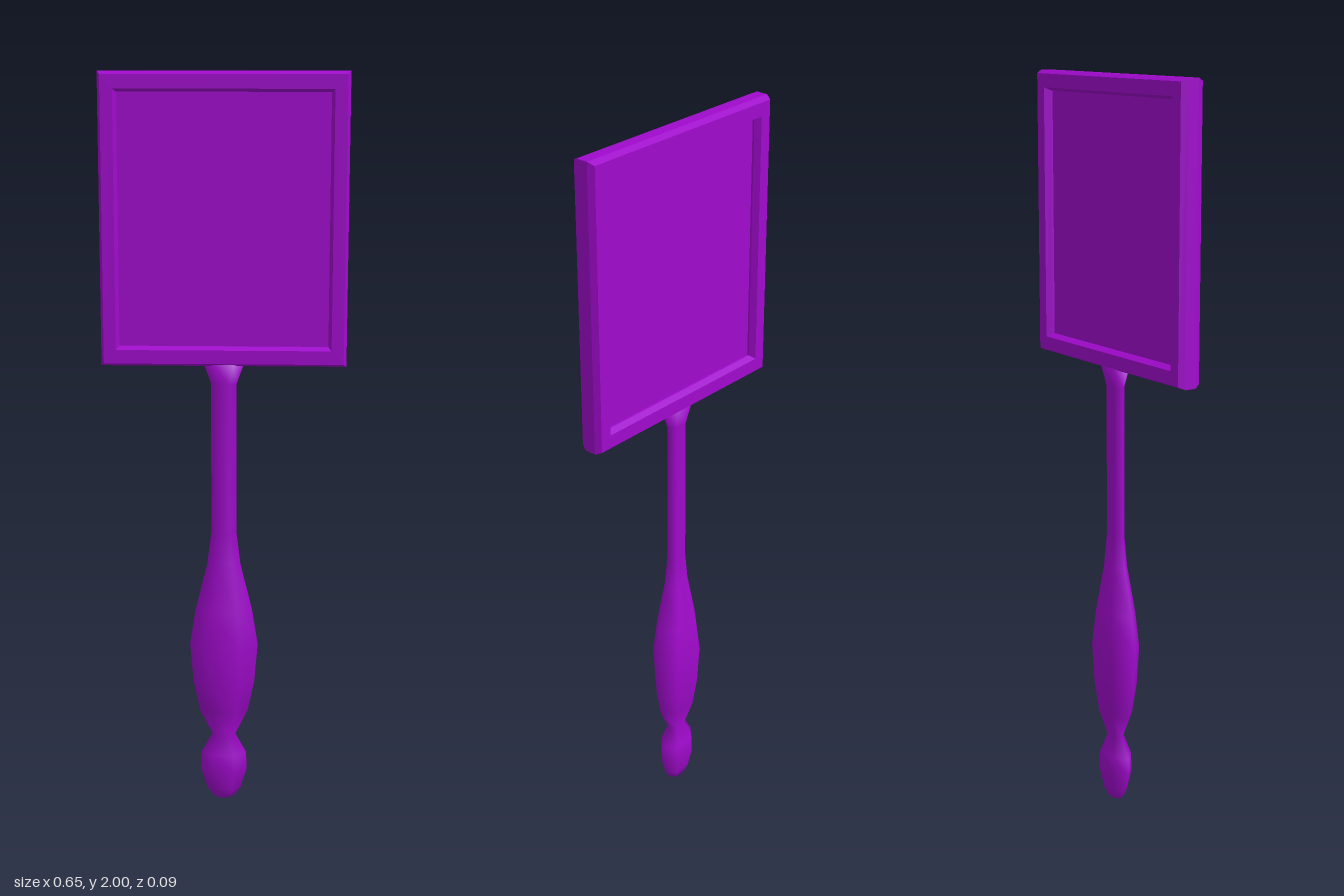
import * as THREE from 'three';

export function createModel() {
  const group = new THREE.Group();
  const material = new THREE.MeshStandardMaterial({ color: 0xa00acc });
  const flat = material.clone();
  flat.flatShading = true;

  const add = (name, geometry, mat) => {
    const mesh = new THREE.Mesh(geometry, mat);
    mesh.name = name;
    group.add(mesh);
    return mesh;
  };

  const rectangle = (PathType, hw, hh) => new PathType([
    new THREE.Vector2(-hw, -hh), new THREE.Vector2(hw, -hh),
    new THREE.Vector2(hw, hh), new THREE.Vector2(-hw, hh),
  ]);

  // Rectangular frame, chamfered on its outer and inner edges
  const outline = rectangle(THREE.Shape, 0.323, 0.38);
  outline.holes.push(rectangle(THREE.Path, 0.275, 0.328));
  const frame = new THREE.ExtrudeGeometry(outline, {
    depth: 0.032, bevelEnabled: true, bevelSegments: 1,
    bevelSize: 0.008, bevelOffset: -0.008, bevelThickness: 0.017,
  });
  frame.translate(0, 0, -0.016);
  add('frame', frame, flat).position.y = 1.62;

  // Panel recessed on both faces
  add('panel', new THREE.BoxGeometry(0.57, 0.676, 0.022), flat).position.y = 1.62;

  // Six-sided turned handle, flattened front to back: [radius, height]
  const profile = [
    [0, 0], [0.028, 0.008], [0.047, 0.035], [0.064, 0.09], [0.062, 0.14],
    [0.032, 0.195], [0.066, 0.265], [0.084, 0.35], [0.093, 0.46],
    [0.077, 0.56], [0.045, 0.69], [0.034, 0.78], [0.034, 1.19],
    [0.054, 1.245], [0, 1.245],
  ].map(([r, y]) => new THREE.Vector2(r, y));
  const handle = new THREE.LatheGeometry(profile, 6, Math.PI / 2);
  handle.scale(1, 1, 0.58);
  add('handle', handle, material);

  return group;
}
